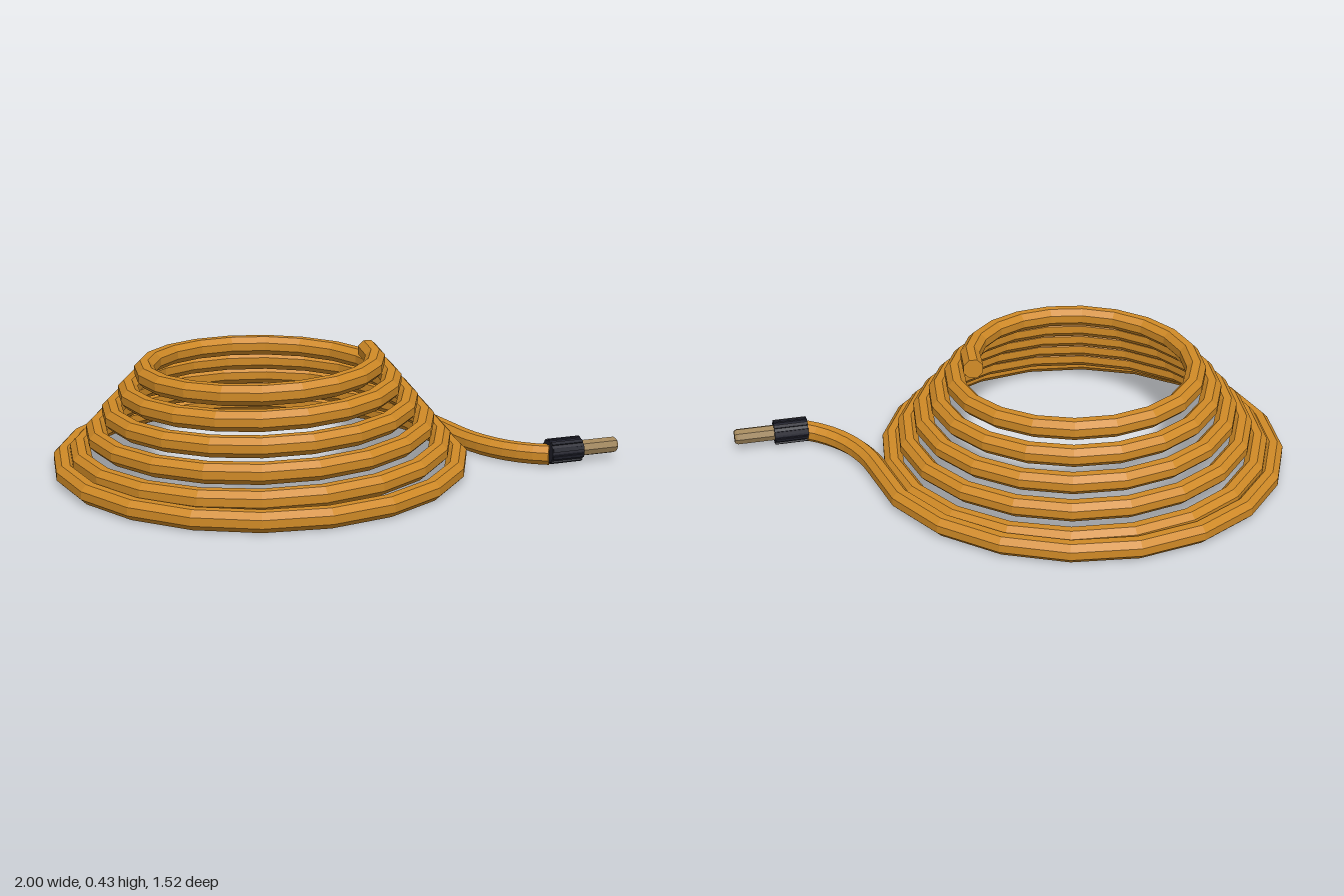
import * as THREE from 'three';

const material = (name, color) => {
  const m = new THREE.MeshStandardMaterial({ color, flatShading: true });
  m.name = name;
  return m;
};

// Sweep an upright octagon along a list of points, closed at both ends
function sweep(points, radius, sides = 8) {
  const position = [], index = [];
  const up = new THREE.Vector3(0, 1, 0);
  const last = points.length - 1;
  points.forEach((p, i) => {
    const before = points[Math.max(i - 1, 0)], after = points[Math.min(i + 1, last)];
    const tangent = after.clone().sub(before).normalize();
    const side = up.clone().cross(tangent).normalize();
    const lift = tangent.clone().cross(side);
    for (let j = 0; j < sides; j++) {
      const a = ((j + 0.5) / sides) * Math.PI * 2;
      const v = p.clone().addScaledVector(side, Math.cos(a) * radius).addScaledVector(lift, Math.sin(a) * radius);
      position.push(v.x, v.y, v.z);
    }
  });
  for (let i = 0; i < last; i++) {
    for (let j = 0; j < sides; j++) {
      const k = (j + 1) % sides;
      const a = i * sides + j, b = i * sides + k, c = a + sides, d = b + sides;
      index.push(a, b, c, b, d, c);
    }
  }
  for (let j = 1; j < sides - 1; j++) {
    index.push(0, j + 1, j);
    index.push(last * sides, last * sides + j, last * sides + j + 1);
  }
  const g = new THREE.BufferGeometry();
  g.setAttribute('position', new THREE.Float32BufferAttribute(position, 3));
  g.setIndex(index);
  g.computeVertexNormals();
  return g;
}

export function createModel() {
  const group = new THREE.Group();
  const amber = material('amber hose', 0xd08a26);
  const dark = material('dark grip', 0x20212c);
  const brass = material('dull brass', 0xa0855a);

  const add = (name, geometry, mat, parent = group) => {
    const mesh = new THREE.Mesh(geometry, mat);
    mesh.name = name;
    parent.add(mesh);
    return mesh;
  };

  // Coil: six evenly widening turns, sinking until the last lies on the ground
  const centreX = -0.24, centreZ = 0.013, perTurn = 20, turns = 6, ground = 0.036;
  const points = [];
  for (let i = 0; i <= turns * perTurn; i++) {
    const t = i / perTurn, a = t * Math.PI * 2;
    const r = 0.395 + 0.06 * t;
    const y = Math.max(0.397 - 0.0722 * t, ground);
    points.push(new THREE.Vector3(centreX + r * Math.cos(a), y, centreZ + r * Math.sin(a)));
  }

  // Tail: leaves the ground turn and bends out to the fitting
  const tail = new THREE.CubicBezierCurve3(
    points[points.length - 1],
    new THREE.Vector3(0.535, ground, 0.15),
    new THREE.Vector3(0.6, ground, 0.29),
    new THREE.Vector3(0.73, 0.04, 0.365),
  );
  points.push(...tail.getPoints(8).slice(1));
  add('hose', sweep(points, 0.038), amber);

  // Fitting at the loose end, pointing along +x
  const fitting = new THREE.Group();
  fitting.name = 'fitting';
  fitting.position.set(0.725, 0.05, 0.36);
  group.add(fitting);

  const along = (rTop, rBottom, length, sides, start) =>
    new THREE.CylinderGeometry(rTop, rBottom, length, sides)
      .rotateZ(-Math.PI / 2)
      .translate(start + length / 2, 0, 0);

  add('grip', along(0.043, 0.043, 0.127, 12, 0), dark, fitting);
  for (let i = 0; i < 10; i++) {
    const rib = new THREE.BoxGeometry(0.123, 0.012, 0.013).translate(0.0635, 0.0405, 0);
    add('gripRib', rib.rotateX((i / 10) * Math.PI * 2), dark, fitting);
  }
  add('nozzle', along(0.03, 0.03, 0.138, 8, 0.127), brass, fitting);
  add('nozzleTip', along(0.024, 0.03, 0.01, 8, 0.265), brass, fitting);

  return group;
}
